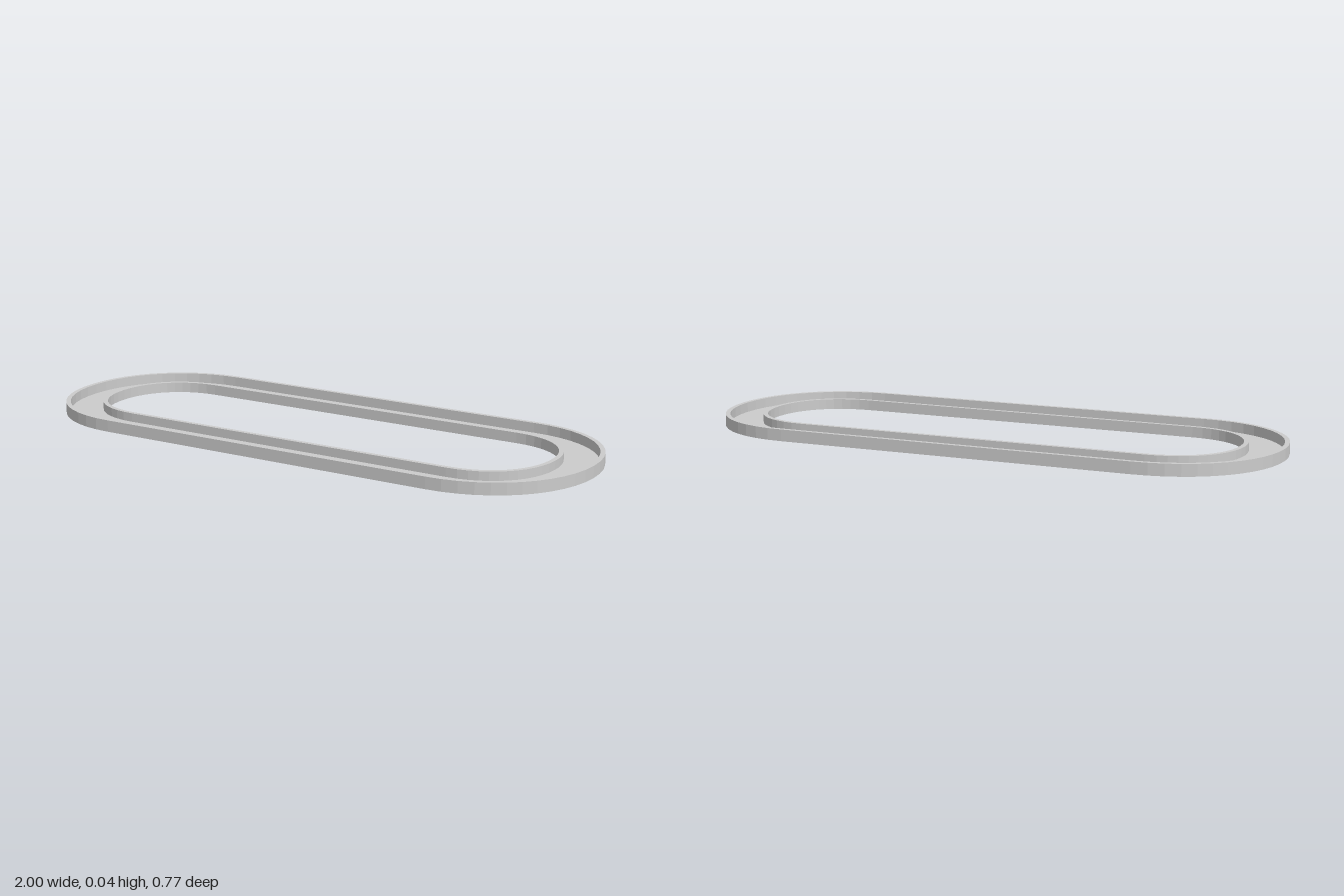
import * as THREE from 'three';

const END = 1, HALF = 0.383, WALL = 0.016, WIDTH = 0.147;
const OUTER_HEIGHT = 0.04, INNER_HEIGHT = 0.036, FLOOR = 0.006;
const STEPS = 12; // facets per quarter of a rounded end

// Oblong outline, offset inwards by a constant distance along its normals
function outline(inset) {
  const start = END - HALF, k = 0.58 * HALF;
  const arc = new THREE.CubicBezierCurve(
    new THREE.Vector2(END, 0), new THREE.Vector2(END, k),
    new THREE.Vector2(start + k, HALF), new THREE.Vector2(start, HALF));
  const quarter = [];
  for (let i = 0; i <= STEPS; i++) {
    const p = arc.getPoint(i / STEPS), t = arc.getTangent(i / STEPS);
    quarter.push(new THREE.Vector2(p.x - t.y * inset, p.y + t.x * inset));
  }
  const mirror = (points, sx, sy) => points.map(p => new THREE.Vector2(p.x * sx, p.y * sy));
  const back = [...quarter].reverse();
  return [
    ...quarter,
    ...mirror(back, -1, 1).slice(0, -1),
    ...mirror(quarter, -1, -1),
    ...mirror(back, 1, -1).slice(0, -1),
  ];
}

// Upright ring between two insets
function ring(name, from, to, height, material) {
  const shape = new THREE.Shape(outline(from));
  shape.holes.push(new THREE.Path(outline(to)));
  const geometry = new THREE.ExtrudeGeometry(shape, { depth: height, bevelEnabled: false });
  geometry.rotateX(-Math.PI / 2);
  const mesh = new THREE.Mesh(geometry, material);
  mesh.name = name;
  return mesh;
}

export function createModel() {
  const group = new THREE.Group();
  group.name = 'oblongChannelRing';
  const material = new THREE.MeshStandardMaterial({ color: 0xcccccc });
  group.add(
    ring('outerRim', 0, WALL, OUTER_HEIGHT, material),
    ring('channelFloor', WALL, WIDTH - WALL, FLOOR, material),
    ring('innerRim', WIDTH - WALL, WIDTH, INNER_HEIGHT, material),
  );
  return group;
}
